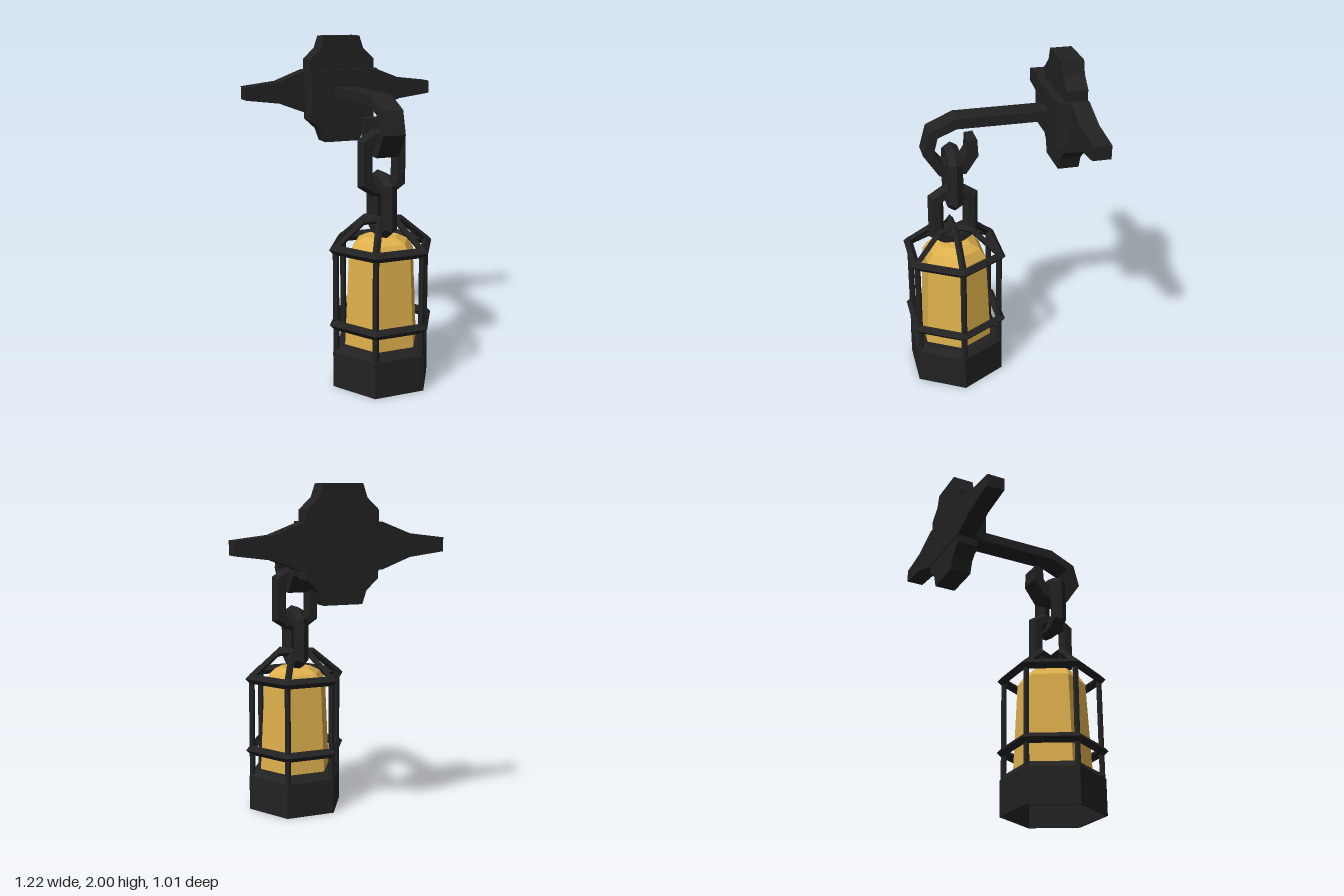
import * as THREE from 'three';

const iron = new THREE.MeshStandardMaterial({ color: 0x222222 });
iron.name = 'black iron';
const amber = new THREE.MeshStandardMaterial({ color: 0xdeb04c });
amber.name = 'amber glass';

const LANTERN_Z = 0.22;

// Faceted geometry with hard edges
function flat(geometry) {
  const g = geometry.index ? geometry.toNonIndexed() : geometry;
  g.computeVertexNormals();
  return g;
}

function add(parent, name, geometry, material = iron) {
  const mesh = new THREE.Mesh(flat(geometry), material);
  mesh.name = name;
  parent.add(mesh);
  return mesh;
}

// Extrude a 2D outline from z = 0 to z = depth
function slab(points, depth) {
  const shape = new THREE.Shape(points.map(([x, y]) => new THREE.Vector2(x, y)));
  return new THREE.ExtrudeGeometry(shape, { depth, bevelEnabled: false });
}

// Sweep a regular section along a mitred polyline in the xy plane
function sweep(path, radius, sides, closed) {
  const pts = path.map(([x, y]) => new THREE.Vector2(x, y));
  const n = pts.length;
  const pos = [];
  const index = [];
  pts.forEach((p, i) => {
    const prev = closed ? pts[(i + n - 1) % n] : pts[Math.max(i - 1, 0)];
    const next = closed ? pts[(i + 1) % n] : pts[Math.min(i + 1, n - 1)];
    const t0 = (prev === p ? next.clone().sub(p) : p.clone().sub(prev)).normalize();
    const t1 = (next === p ? t0.clone() : next.clone().sub(p)).normalize();
    const t = t0.clone().add(t1).normalize();
    const miter = 1 / t.dot(t1);
    for (let j = 0; j < sides; j++) {
      const a = (j / sides) * Math.PI * 2;
      const u = Math.cos(a) * radius * miter;
      pos.push(p.x - t.y * u, p.y + t.x * u, Math.sin(a) * radius);
    }
  });
  for (let i = 0; i < (closed ? n : n - 1); i++) {
    for (let j = 0; j < sides; j++) {
      const k = (j + 1) % sides;
      const r = i * sides;
      const s = ((i + 1) % n) * sides;
      index.push(r + j, r + k, s + k, r + j, s + k, s + j);
    }
  }
  if (!closed) {
    const e = (n - 1) * sides;
    for (let j = 1; j < sides - 1; j++) index.push(0, j + 1, j, e, e + j, e + j + 1);
  }
  const g = new THREE.BufferGeometry();
  g.setAttribute('position', new THREE.Float32BufferAttribute(pos, 3));
  g.setIndex(index);
  return g;
}

// Six-sided lathe with corners on the x axis
function hexLathe(profile) {
  return new THREE.LatheGeometry(profile.map(([r, y]) => new THREE.Vector2(r, y)), 6, Math.PI / 2);
}

function buildBracket() {
  const bracket = new THREE.Group();
  bracket.name = 'wallBracket';
  const midY = 1.675;

  // Stepped upright plate, mirrored into four quadrants
  const q = [[0.21, 0.185], [0.14, 0.25], [0.115, 0.325]];
  const r = [...q].reverse();
  const plate = [
    ...q, ...r.map(([x, y]) => [-x, y]),
    ...q.map(([x, y]) => [-x, -y]), ...r.map(([x, y]) => [x, -y]),
  ];
  add(bracket, 'wallPlate', slab(plate, 0.125)).position.set(0, midY, -0.505);

  // Tapering side arms as one crosspiece
  const upper = [[0.61, 0.035], [0.4, 0.06], [0.23, 0.125]];
  const lower = [[0.23, -0.135], [0.4, -0.07], [0.61, -0.043]];
  const arms = [
    ...upper, ...[...upper].reverse().map(([x, y]) => [-x, y]),
    ...[...lower].reverse().map(([x, y]) => [-x, y]), ...lower,
  ];
  add(bracket, 'sideArms', slab(arms, 0.105)).position.set(0, midY - 0.005, -0.51);

  // Raised block with slanted ends
  const block = slab([[-0.237, 0.41], [-0.237, 0.4], [-0.215, 0.33], [0.215, 0.33], [0.237, 0.4], [0.237, 0.41]], 0.265);
  block.rotateX(-Math.PI / 2);
  add(bracket, 'raisedBlock', block).position.y = 1.533;

  // Bent hook, outlined in z and y
  const hook = slab([
    [-0.34, 1.635], [0.2, 1.635], [0.31, 1.59], [0.335, 1.49], [0.275, 1.415],
    [0.18, 1.415], [0.14, 1.475], [0.135, 1.555], [0.085, 1.56], [0.078, 1.46],
    [0.15, 1.355], [0.305, 1.355], [0.395, 1.49], [0.358, 1.625], [0.2, 1.695], [-0.34, 1.695],
  ], 0.134);
  hook.rotateY(-Math.PI / 2);
  add(bracket, 'hook', hook).position.x = 0.067;
  return bracket;
}

function buildLantern() {
  const lantern = new THREE.Group();
  lantern.name = 'lantern';
  lantern.position.z = LANTERN_Z;

  // Chain links at right angles to each other
  const link = [
    [0.103, -0.11], [0.103, 0.11], [0.045, 0.148], [-0.045, 0.148],
    [-0.103, 0.11], [-0.103, -0.11], [-0.045, -0.148], [0.045, -0.148],
  ];
  add(lantern, 'upperLink', sweep(link, 0.046, 6, true)).position.y = 1.315;
  const lowerLink = add(lantern, 'lowerLink', sweep(link, 0.046, 6, true));
  lowerLink.position.y = 1.07;
  lowerLink.rotation.y = Math.PI / 2;

  // Hollow base, open underneath
  add(lantern, 'base', hexLathe([
    [0.305, 0], [0.305, 0.215], [0.275, 0.25], [0.2, 0.25],
    [0.2, 0.24], [0.27, 0.24], [0.293, 0.21], [0.293, 0], [0.305, 0],
  ]));

  // Glass with domed top
  add(lantern, 'glass', hexLathe([
    [0, 0.245], [0.23, 0.245], [0.203, 0.8], [0.165, 0.855], [0.1, 0.887], [0, 0.887],
  ]), amber);

  // Cage rings with diamond section
  for (const y of [0.38, 0.83]) {
    const ring = new THREE.TorusGeometry(0.295, 0.03, 4, 6);
    ring.rotateX(Math.PI / 2);
    add(lantern, 'cageRing', ring).position.y = y;
  }

  // Upright bars at the hexagon corners
  for (let i = 0; i < 6; i++) {
    const a = (i * Math.PI) / 3;
    const bar = new THREE.CylinderGeometry(0.018, 0.018, 0.66, 6);
    add(lantern, 'cageBar', bar).position.set(Math.cos(a) * 0.284, 0.51, Math.sin(a) * 0.284);
  }

  // Bent roof bars crossing at the centre
  for (let i = 0; i < 3; i++) {
    const roof = sweep([[-0.295, 0.83], [-0.115, 0.978], [0.115, 0.978], [0.295, 0.83]], 0.021, 4, false);
    add(lantern, 'roofBar', roof).rotation.y = (i * Math.PI) / 3;
  }
  return lantern;
}

export function createModel() {
  const model = new THREE.Group();
  model.name = 'hangingWallLantern';
  model.add(buildBracket(), buildLantern());
  return model;
}
